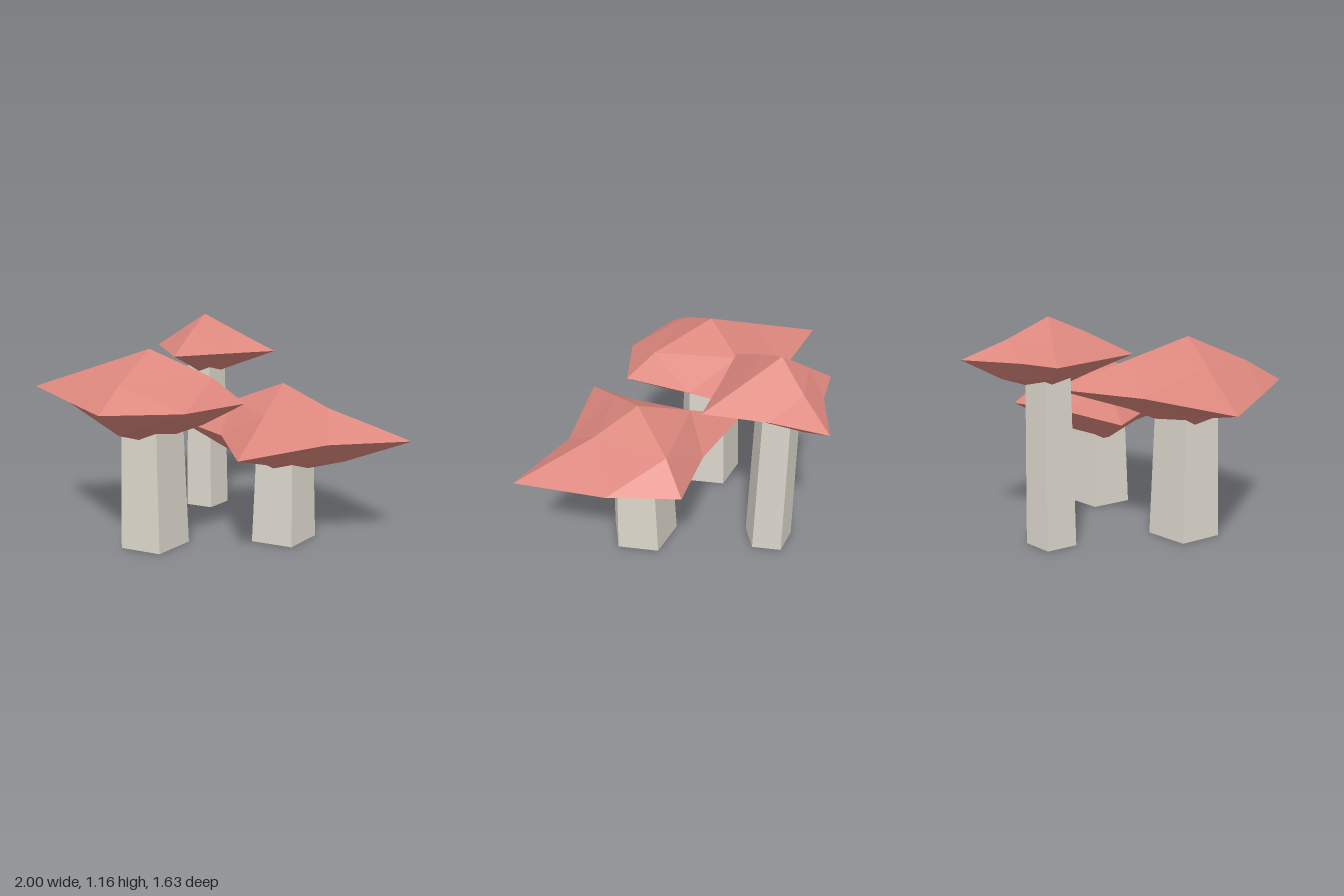
import * as THREE from 'three';

const capMaterial = new THREE.MeshStandardMaterial({ color: 0xdc877d, flatShading: true });
const stemMaterial = new THREE.MeshStandardMaterial({ color: 0xdad5ca, flatShading: true });

// tips: reach along [+x, -x, +z, -z]; poles: [up, down]
// rim: [x, z] of the corner points at [+x+z, -x+z, -x-z, +x-z]
// upper, lower: [reach, height] of the ridge points at [+x, -x, +z, -z]
const mushrooms = [
  {
    name: 'wideMushroom', at: [-0.29, 0.8, 0.31], radii: [0.163, 0.19],
    tips: [0.52, 0.71, 0.505, 0.68], poles: [0.243, 0.25],
    rim: [[0.345, 0.325], [0.3, 0.295], [0.3, 0.305], [0.286, 0.286]],
    upper: [[0.35, 0.117], [0.3, 0.14], [0.313, 0.11], [0.29, 0.14]],
    lower: [[0.3, 0.125], [0.285, 0.114], [0.33, 0.136], [0.3, 0.12]],
  },
  {
    name: 'lowMushroom', at: [0.316, 0.6, -0.035], radii: [0.163, 0.19],
    tips: [0.68, 0.62, 0.66, 0.487], poles: [0.25, 0.245],
    rim: [[0.307, 0.23], [0.25, 0.25], [0.245, 0.245], [0.32, 0.31]],
    upper: [[0.245, 0.135], [0.3, 0.13], [0.3, 0.137], [0.325, 0.135]],
    lower: [[0.34, 0.143], [0.313, 0.143], [0.225, 0.14], [0.29, 0.11]],
  },
  {
    name: 'tallMushroom', at: [-0.29, 0.962, -0.395], radii: [0.115, 0.135],
    tips: [0.433, 0.31, 0.42, 0.42], poles: [0.197, 0.17],
    rim: [[0.21, 0.21], [0.178, 0.178], [0.16, 0.15], [0.187, 0.208]],
    upper: [[0.21, 0.1], [0.17, 0.09], [0.18, 0.12], [0.2, 0.092]],
    lower: [[0.2, 0.09], [0.17, 0.08], [0.2, 0.085], [0.23, 0.1]],
  },
];

// Uneven octahedron: each of its eight faces is split into four triangles
function capGeometry({ tips, poles, rim, upper, lower }) {
  const points = [];
  for (const sx of [1, -1]) for (const sy of [1, -1]) for (const sz of [1, -1]) {
    const ix = sx > 0 ? 0 : 1;
    const iz = sz > 0 ? 2 : 3;
    const ridge = sy > 0 ? upper : lower;
    const corner = rim[sz > 0 ? ix : 3 - ix];
    const X = [sx * tips[ix], 0, 0];
    const Y = [0, sy * poles[sy > 0 ? 0 : 1], 0];
    const Z = [0, 0, sz * tips[iz]];
    const XY = [sx * ridge[ix][0], sy * ridge[ix][1], 0];
    const YZ = [0, sy * ridge[iz][1], sz * ridge[iz][0]];
    const ZX = [sx * corner[0], 0, sz * corner[1]];
    for (const [a, b, c] of [[X, XY, ZX], [XY, Y, YZ], [ZX, YZ, Z], [XY, YZ, ZX]]) {
      points.push(...(sx * sy * sz > 0 ? [a, b, c] : [a, c, b]).flat());
    }
  }
  const geometry = new THREE.BufferGeometry();
  geometry.setAttribute('position', new THREE.Float32BufferAttribute(points, 3));
  geometry.computeVertexNormals();
  return geometry;
}

export function createModel() {
  const model = new THREE.Group();
  model.name = 'mushroomCluster';
  for (const spec of mushrooms) {
    const [x, height, z] = spec.at;
    const mushroom = new THREE.Group();
    mushroom.name = spec.name;
    mushroom.position.set(x, 0, z);

    // Five-sided tapered stem with a flat side to the front
    const stem = new THREE.Mesh(
      new THREE.CylinderGeometry(spec.radii[0], spec.radii[1], height, 5), stemMaterial);
    stem.name = 'stem';
    stem.rotation.y = Math.PI;
    stem.position.y = height / 2;

    // Faceted cap
    const cap = new THREE.Mesh(capGeometry(spec), capMaterial);
    cap.name = 'cap';
    cap.position.y = height;

    mushroom.add(stem, cap);
    model.add(mushroom);
  }
  return model;
}
